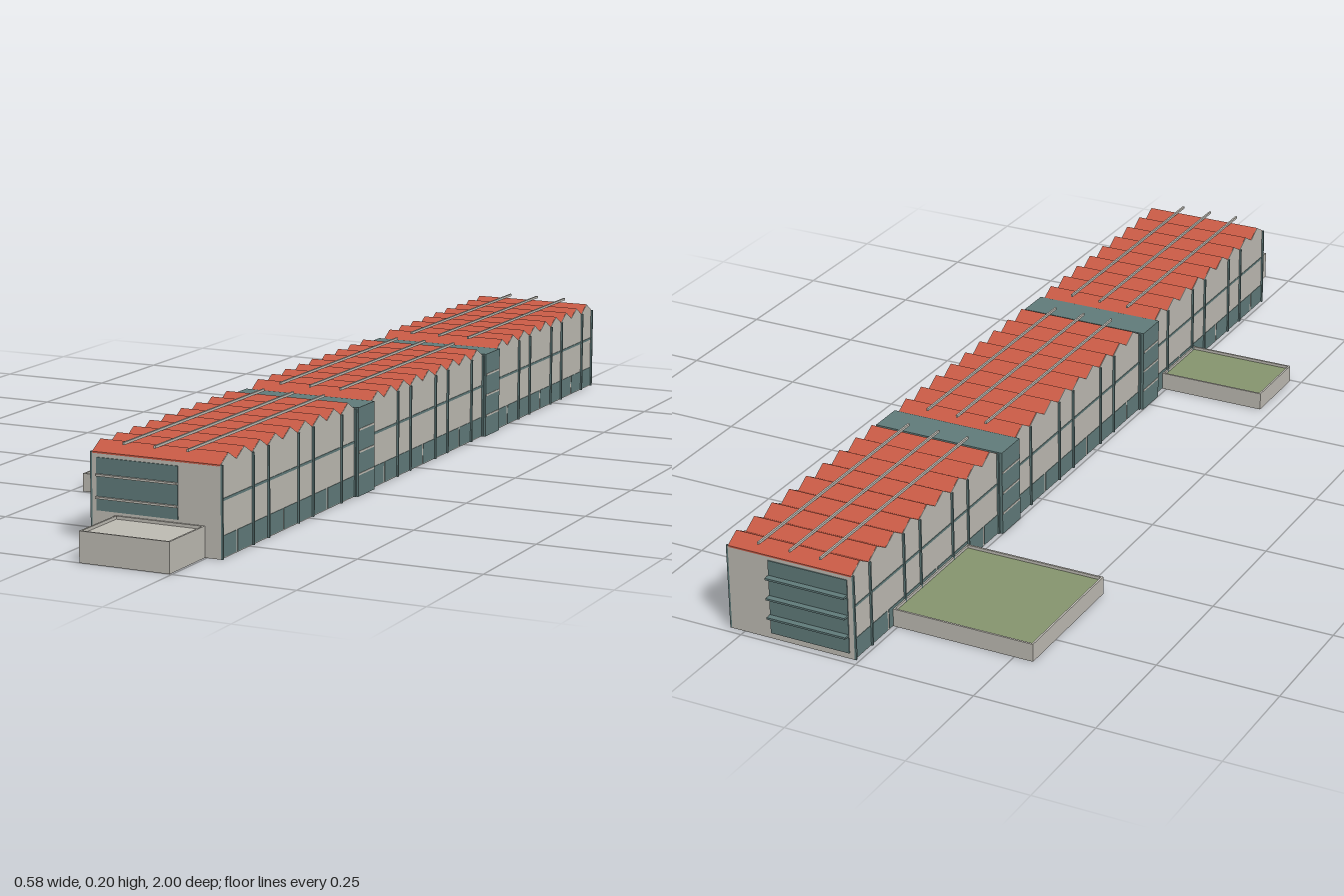
import * as THREE from 'three';

const mat = (name, color, side = THREE.FrontSide) => {
  const m = new THREE.MeshStandardMaterial({ color, side });
  m.name = name;
  return m;
};

export function createModel() {
  const concrete = mat('concrete', 0xbfbcb4);
  const glass = mat('tealGlazing', 0x617c7b);
  const tile = mat('redRoof', 0xc85a45);
  const lawn = mat('greenRoof', 0x87966f);

  const model = new THREE.Group();
  model.name = 'longHall';

  const add = (parent, name, geometry, material) => {
    const m = new THREE.Mesh(geometry, material);
    m.name = name;
    parent.add(m);
    return m;
  };
  // Box given by its minimum and maximum corners
  const box = (parent, name, material, x0, x1, y0, y1, z0, z1) => {
    const g = new THREE.BoxGeometry(x1 - x0, y1 - y0, z1 - z0);
    g.translate((x0 + x1) / 2, (y0 + y1) / 2, (z0 + z1) / 2);
    return add(parent, name, g, material);
  };
  const group = (name) => {
    const g = new THREE.Group();
    g.name = name;
    model.add(g);
    return g;
  };
  // Profile in (z, y), extruded from x0 to x1
  const extrudeX = (points, x0, x1) => {
    const shape = new THREE.Shape(points.map(([z, y]) => new THREE.Vector2(z, y)));
    const g = new THREE.ExtrudeGeometry(shape, { depth: x1 - x0, bevelEnabled: false });
    g.rotateY(-Math.PI / 2);
    g.translate(x1, 0, 0);
    return g;
  };

  const X0 = 0.01, X1 = 0.279, T = 0.004, EAVE = 0.177, RIDGE = 0.195, TEETH = 9;
  const sections = [[-0.985, -0.42], [-0.345, 0.22], [0.295, 0.865]];
  const cores = [[-0.42, -0.345], [0.22, 0.295]];

  // Hall sections: side walls, glazing, fins and sawtooth roof
  sections.forEach(([z0, z1], s) => {
    const hall = group('hallSection' + (s + 1));
    const step = (z1 - z0) / TEETH;

    // Thin folded roof sheet
    const top = [], gable = [];
    for (let i = 0; i <= TEETH * 2; i++) {
      top.push([z0 + (i * step) / 2, i % 2 ? RIDGE : EAVE]);
    }
    const under = top.map(([z, y]) => [z, y - 0.003]).reverse();
    add(hall, 'sawtoothRoof', extrudeX([...top, ...under], X0 + 0.001, X1 - 0.001), tile);
    gable.push(...top.map(([z, y]) => [z, y - 0.0005]), [z1, 0.172], [z0, 0.172]);

    // Rails along the roof
    for (const x of [0.077, 0.143, 0.211]) {
      box(hall, 'roofRail', concrete, x - 0.002, x + 0.002, 0.195, 0.2, z0, z1);
    }

    for (const side of [-1, 1]) {
      const face = side > 0 ? X1 : X0;
      const slab = (name, material, depth, y0, y1, a, b) => {
        const e = face + side * depth;
        box(hall, name, material, Math.min(face, e), Math.max(face, e), y0, y1, a, b);
      };
      slab('sideWall', concrete, -T, 0, 0.175, z0, z1);
      add(hall, 'toothGable', side > 0
        ? extrudeX(gable, X1 - 0.002, X1) : extrudeX(gable, X0, X0 + 0.002), concrete);

      // Ground floor glazing, one pane per tooth
      for (let i = 0; i < TEETH; i++) {
        slab('basePane', glass, 0.001, 0.002, 0.043, z0 + i * step + 0.003, z0 + (i + 1) * step - 0.003);
      }
      slab('floorStripe', glass, 0.001, 0.108, 0.113, z0, z1);

      // Fins at alternating double and single bays
      for (const i of [0, 1, 3, 4, 6, 7, 9]) {
        const z = Math.min(Math.max(z0 + i * step, z0 + 0.002), z1 - 0.002);
        slab('facadeFin', glass, 0.004, 0, 0.177, z - 0.002, z + 0.002);
      }
    }
  });

  // Stair cores: open-bottomed teal links with pale floor bands
  cores.forEach(([z0, z1], c) => {
    const core = group('stairCore' + (c + 1));
    const a = 0, b = 0.287;
    box(core, 'coreRoof', glass, a, b, 0.176, 0.18, z0, z1);
    box(core, 'coreLeftWall', glass, b - T, b, 0, 0.176, z0, z1);
    box(core, 'coreRightWall', glass, a, a + T, 0, 0.176, z0, z1);
    box(core, 'coreBackWall', glass, a + T, b - T, 0, 0.176, z0, z0 + T);
    box(core, 'coreFrontWall', glass, a + T, b - T, 0, 0.176, z1 - T, z1);
    for (const y of [0.045, 0.09, 0.135]) {
      box(core, 'floorBand', concrete, b, b + 0.001, y - 0.002, y + 0.002, z0 + 0.002, z1 - 0.002);
      box(core, 'floorBand', concrete, a - 0.001, a, y - 0.002, y + 0.002, z0 + 0.002, z1 - 0.002);
    }
  });

  // End walls with large windows and ledges
  const ends = group('endWalls');
  box(ends, 'frontWall', concrete, X0, X1, 0, 0.175, 0.861, 0.865);
  box(ends, 'frontWindow', glass, 0.02, 0.191, 0.066, 0.167, 0.865, 0.867);
  for (const y of [0.091, 0.134]) {
    box(ends, 'frontLedge', concrete, 0.02, 0.191, y - 0.002, y + 0.002, 0.865, 0.872);
  }
  box(ends, 'backWall', concrete, X0, X1, 0, 0.175, -0.985, -0.981);
  box(ends, 'backWindow', glass, 0.02, 0.191, 0.012, 0.167, -0.987, -0.985);
  for (const y of [0.05, 0.091, 0.134]) {
    box(ends, 'backLedge', glass, 0.02, 0.191, y - 0.002, y + 0.002, -1, -0.985);
  }

  // Low annexes: four walls with a recessed flat roof, open below
  const annex = (name, roofMat, x0, x1, z0, z1, h) => {
    const g = group(name);
    box(g, 'annexWall', concrete, x0, x0 + T, 0, h, z0, z1);
    box(g, 'annexWall', concrete, x1 - T, x1, 0, h, z0, z1);
    box(g, 'annexWall', concrete, x0 + T, x1 - T, 0, h, z0, z0 + T);
    box(g, 'annexWall', concrete, x0 + T, x1 - T, 0, h, z1 - T, z1);
    box(g, 'annexRoof', roofMat, x0 + T, x1 - T, h - 0.009, h - 0.006, z0 + T, z1 - T);
  };
  annex('largeGreenAnnex', lawn, -0.29, X0, -0.842, -0.55, 0.037);
  annex('smallGreenAnnex', lawn, -0.225, X0, 0.335, 0.495, 0.037);
  annex('frontPorch', concrete, 0.059, 0.246, 0.865, 1, 0.06);

  return model;
}
